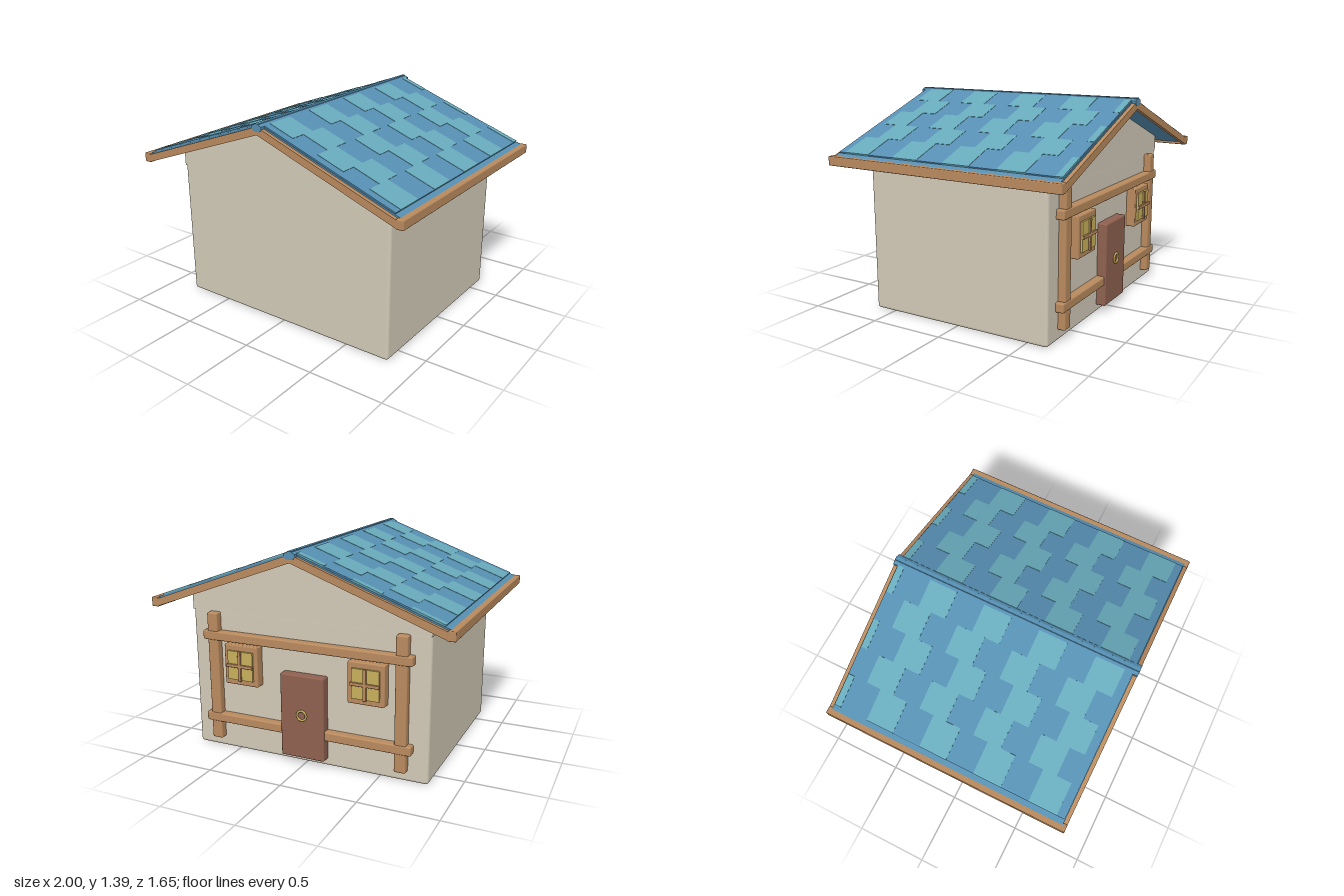
import * as THREE from 'three';
import { RoundedBoxGeometry } from 'three/addons/geometries/RoundedBoxGeometry.js';

const SLOPE = 0.365;
const ANGLE = Math.atan(SLOPE);

const paint = (name, color) => {
  const m = new THREE.MeshStandardMaterial({ color });
  m.name = name;
  return m;
};

export function createModel() {
  const plaster = paint('plaster', 0xd2cab8);
  const wood = paint('wood', 0xb98a5e);
  const doorWood = paint('doorWood', 0x8f6150);
  const gold = paint('gold', 0xc9b05c);
  const blue = paint('blueShingle', 0x568fb2);
  const teal = paint('tealShingle', 0x68aabb);

  const house = new THREE.Group();
  house.name = 'house';

  const add = (parent, name, geometry, material, x = 0, y = 0, z = 0) => {
    const mesh = new THREE.Mesh(geometry, material);
    mesh.name = name;
    mesh.position.set(x, y, z);
    parent.add(mesh);
    return mesh;
  };
  // Softly bevelled block given by its centre and size
  const block = (parent, name, mat, [w, h, d], [x, y, z], r = 0.006) =>
    add(parent, name, new RoundedBoxGeometry(w, h, d, 2, r), mat, x, y, z);
  // Outline in x and y, drawn out along z from z0
  const prism = (parent, name, mat, points, z0, depth) => {
    const shape = new THREE.Shape(points.map(([x, y]) => new THREE.Vector2(x, y)));
    const geo = new THREE.ExtrudeGeometry(shape, { depth, bevelEnabled: false });
    return add(parent, name, geo, mat, 0, 0, z0);
  };
  // Bent band following both roof slopes
  const chevron = (top, bottom, x) => [
    [-x, bottom - SLOPE * x], [0, bottom], [x, bottom - SLOPE * x],
    [x, top - SLOPE * x], [0, top], [-x, top - SLOPE * x],
  ];

  // Walls and gable
  block(house, 'walls', plaster, [1.625, 0.947, 1.285], [0, 0.4735, 0], 0.02);
  prism(house, 'gable', plaster,
    [[-0.815, 0.93], [0.815, 0.93], [0.815, 1.335 - SLOPE * 0.815], [0, 1.335], [-0.815, 1.335 - SLOPE * 0.815]],
    -0.642, 1.284);

  // Roof slab, barge boards and eave boards
  const roof = new THREE.Group();
  roof.name = 'roof';
  house.add(roof);
  prism(roof, 'roofSlab', blue, chevron(1.382, 1.335, 0.97), -0.8, 1.6);
  for (const z of [-0.825, 0.8]) prism(roof, 'bargeBoard', wood, chevron(1.372, 1.322, 0.965), z, 0.025);
  for (const s of [-1, 1]) block(roof, 'eaveBoard', wood, [0.05, 0.06, 1.652], [s * 0.975, 1.0, 0]);

  // Ridge cap with a raised centre strip
  prism(roof, 'ridgeCap', blue,
    [[-0.022, 1.342], [0.022, 1.342], [0.037, 1.357], [0.037, 1.375], [0.014, 1.386],
      [0.012, 1.391], [-0.012, 1.391], [-0.014, 1.386], [-0.037, 1.375], [-0.037, 1.357]],
    -0.827, 1.654);

  // Staggered shingles in five courses on each slope
  const courses = [0.03, 0.2, 0.375, 0.555, 0.73, 0.93];
  const pitch = 0.1867;
  for (const s of [-1, 1]) {
    for (let c = 0; c < 5; c++) {
      const x0 = courses[c], x1 = courses[c + 1], mid = (x0 + x1) / 2;
      const first = c % 2 ? -0.849 : -0.9375;
      for (let i = 0; i < 11; i++) {
        const a = Math.max(first + i * pitch, -0.795);
        const b = Math.min(first + (i + 1) * pitch, 0.795);
        if (b - a < 0.01) continue;
        const isTeal = (i + c) % 2 === 0;
        const thick = isTeal ? 0.02 : 0.016;
        const tile = add(roof, 'shingle',
          new THREE.BoxGeometry((x1 - x0) / Math.cos(ANGLE), thick, b - a),
          isTeal ? teal : blue, s * mid, 1.382 - SLOPE * mid, (a + b) / 2);
        tile.rotation.z = -s * ANGLE;
      }
    }
  }

  // Timber frame on the entrance wall
  for (const s of [-1, 1]) block(house, 'post', wood, [0.075, 0.86, 0.06], [s * 0.645, 0.5, -0.66], 0.01);
  for (const y of [0.22, 0.78]) block(house, 'rail', wood, [1.43, 0.06, 0.066], [0, y, -0.662], 0.01);

  // Door with ring handle
  block(house, 'door', doorWood, [0.3, 0.55, 0.07], [0, 0.325, -0.67], 0.01);
  add(house, 'doorRing', new THREE.TorusGeometry(0.031, 0.007, 8, 24), gold, 0, 0.34, -0.71);

  // Windows with glazing bars
  for (const s of [-1, 1]) {
    const win = new THREE.Group();
    win.name = 'window';
    win.position.set(s * 0.43, 0.608, 0);
    house.add(win);
    block(win, 'windowFrame', wood, [0.24, 0.265, 0.07], [0, 0, -0.669], 0.008);
    add(win, 'pane', new THREE.BoxGeometry(0.18, 0.19, 0.02), gold, 0, 0, -0.707);
    block(win, 'uprightBar', wood, [0.022, 0.2, 0.014], [0, 0, -0.723], 0.004);
    block(win, 'crossBar', wood, [0.19, 0.022, 0.014], [0, 0, -0.723], 0.004);
  }
  return house;
}
